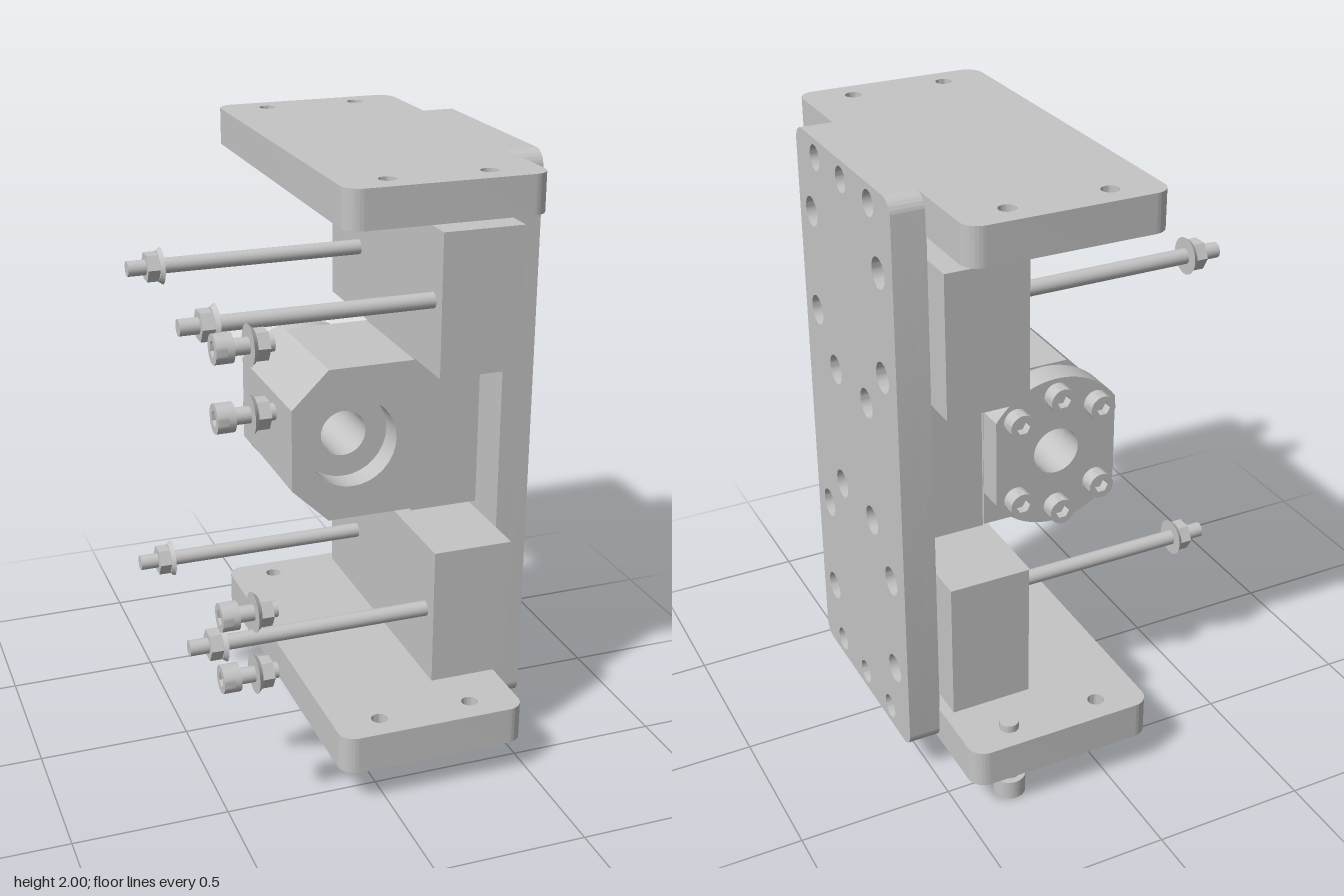
import * as THREE from 'three';
import { toCreasedNormals } from 'three/addons/utils/BufferGeometryUtils.js';

const steel = new THREE.MeshStandardMaterial({ color: 0xc5c5c5 });
steel.name = 'steel grey';

function part(parent, name, geometry, x = 0, y = 0, z = 0) {
  const mesh = new THREE.Mesh(geometry, steel);
  mesh.name = name;
  mesh.position.set(x, y, z);
  parent.add(mesh);
  return mesh;
}

// Box given by its limits on each axis
function block(parent, name, x0, x1, y0, y1, z0, z1) {
  return part(parent, name, new THREE.BoxGeometry(x1 - x0, y1 - y0, z1 - z0),
    (x0 + x1) / 2, (y0 + y1) / 2, (z0 + z1) / 2);
}

function roundedRect(x0, x1, y0, y1, r) {
  const s = new THREE.Shape();
  s.absarc(x1 - r, y1 - r, r, 0, Math.PI / 2);
  s.absarc(x0 + r, y1 - r, r, Math.PI / 2, Math.PI);
  s.absarc(x0 + r, y0 + r, r, Math.PI, Math.PI * 1.5);
  s.absarc(x1 - r, y0 + r, r, Math.PI * 1.5, Math.PI * 2);
  s.closePath();
  return s;
}

function addHole(shape, x, y, r) {
  shape.holes.push(new THREE.Path().absarc(x, y, r, 0, Math.PI * 2, true));
}

function extrude(shape, depth) {
  const g = new THREE.ExtrudeGeometry(shape, { depth, bevelEnabled: false, curveSegments: 16 });
  return toCreasedNormals(g, 0.6);
}

function cylinder(parent, name, r, y0, y1, sides = 24) {
  return part(parent, name, new THREE.CylinderGeometry(r, r, y1 - y0, sides), 0, (y0 + y1) / 2, 0);
}

// Hexagonal nut standing on the y axis
function hexNut(parent, name, r, y0, y1) {
  const mesh = cylinder(parent, name, r, y0, y1, 6);
  mesh.geometry = toCreasedNormals(mesh.geometry, 0.3);
}

// Socket head cap: head from y = 0 (open socket) up to y = h
function socketHead(parent, r, h) {
  const s = new THREE.Shape().absarc(0, 0, r, 0, Math.PI * 2);
  const hex = new THREE.Path();
  for (let i = 0; i < 6; i++) {
    const a = -i * Math.PI / 3;
    hex[i ? 'lineTo' : 'moveTo'](Math.cos(a) * r * 0.55, Math.sin(a) * r * 0.55);
  }
  hex.closePath();
  s.holes.push(hex);
  const g = extrude(s, h * 0.6);
  g.rotateX(-Math.PI / 2);
  part(parent, 'socketRim', g);
  cylinder(parent, 'headBase', r, h * 0.6, h);
}

function group(parent, name, x, y, z) {
  const g = new THREE.Group();
  g.name = name;
  g.position.set(x, y, z);
  parent.add(g);
  return g;
}

export function createModel() {
  const model = new THREE.Group();
  model.name = 'mountingAssembly';

  // Back plate: inner layer with bolt holes, outer layer with counterbores
  const holes = [];
  for (const y of [0.375, 0.71, 1.42, 1.75]) for (const z of [0.24, -0.285]) holes.push([z, y, 0.048, 0.027]);
  for (const y of [0.855, 1.27]) for (const z of [0.105, -0.145]) holes.push([z, y, 0.048, 0.024]);
  for (const y of [0.185, 1.94]) for (const z of [0.185, -0.022, -0.23]) holes.push([z, y, 0.04, 0.022]);
  for (const outer of [false, true]) {
    const s = roundedRect(-0.34, 0.39, 0.125, 2, 0.05);
    for (const [z, y, boreR, drillR] of holes) addHole(s, -z, y, outer ? boreR : drillR);
    const m = part(model, outer ? 'backPlateOuter' : 'backPlateInner',
      extrude(s, outer ? 0.065 : 0.041), outer ? 0.515 : 0.474);
    m.rotation.y = Math.PI / 2;
  }

  // Top and bottom end plates
  for (const [name, y, h] of [['bottomPlate', 0.125, 0.125], ['topPlate', 1.88, 0.12]]) {
    const s = roundedRect(-0.151, 0.476, -0.61, 0.66, 0.055);
    for (const x of [0.004, 0.318]) for (const z of [-0.575, 0.52]) addHole(s, x, -z, 0.027);
    part(model, name, extrude(s, h), 0, y).rotation.x = -Math.PI / 2;
  }

  // Spacer blocks and bearing bracket
  block(model, 'lowerBlock', 0.21, 0.474, 0.312, 0.77, -0.5, 0.455);
  block(model, 'upperBlock', 0.21, 0.474, 1.355, 1.81, -0.5, 0.455);
  block(model, 'bracket', 0.242, 0.474, 0.795, 1.333, -0.24, 0.175);

  // Nut housing with chamfered corners, bore and counterbore
  const cx = 0.035, cy = 1.065;
  for (const [name, r, z0, z1] of [['housing', 0.077, -0.25, 0.09], ['housingRim', 0.15, 0.09, 0.18]]) {
    const s = new THREE.Shape([[0.242, 0.805], [0.242, 1.322], [-0.047, 1.322], [-0.171, 1.2],
      [-0.171, 0.925], [-0.047, 0.805]].map(([x, y]) => new THREE.Vector2(x, y)));
    addHole(s, cx, cy, r);
    part(model, name, extrude(s, z1 - z0), 0, 0, z0);
  }

  // Round flange with two flats
  const fr = 0.252, fa = Math.acos(0.206 / fr);
  const flange = new THREE.Shape();
  flange.absarc(0, 0, fr, fa, Math.PI - fa);
  flange.absarc(0, 0, fr, Math.PI + fa, Math.PI * 2 - fa);
  flange.closePath();
  addHole(flange, 0, 0, 0.077);
  part(model, 'flange', extrude(flange, 0.09), cx, cy, -0.34);

  // Flange screws
  for (const deg of [45, 90, 135, 225, 270, 315]) {
    const a = deg * Math.PI / 180;
    const g = group(model, 'flangeScrew', cx + Math.cos(a) * 0.195, cy + Math.sin(a) * 0.195, -0.389);
    g.rotation.x = Math.PI / 2;
    socketHead(g, 0.042, 0.049);
  }

  // Rods with flanged nuts, and short screws with washer and nut
  for (const y of [0.545, 1.585]) {
    for (const z of [-0.24, 0.388]) {
      const g = group(model, 'rod', -0.58, y, z);
      g.rotation.z = -Math.PI / 2;
      cylinder(g, 'rodShaft', 0.025, 0, 0.793);
      hexNut(g, 'rodNut', 0.05, 0.06, 0.1);
      part(g, 'nutFlange', new THREE.CylinderGeometry(0.06, 0.05, 0.014, 24), 0, 0.106, 0);
    }
  }
  for (const y of [0.545, 0.753, 1.38, 1.585]) {
    const g = group(model, 'shortScrew', -0.54, y, 0.602);
    g.rotation.z = -Math.PI / 2;
    socketHead(g, 0.044, 0.054);
    cylinder(g, 'screwShaft', 0.025, 0.054, 0.176);
    part(g, 'nutFlange', new THREE.CylinderGeometry(0.05, 0.062, 0.014, 24), 0, 0.111, 0);
    hexNut(g, 'screwNut', 0.048, 0.117, 0.156);
  }

  // Bolt through the bottom plate
  const bolt = group(model, 'bottomBolt', 0.316, 0, -0.572);
  socketHead(bolt, 0.052, 0.065);
  cylinder(bolt, 'boltShaft', 0.031, 0.065, 0.275);

  return model;
}
